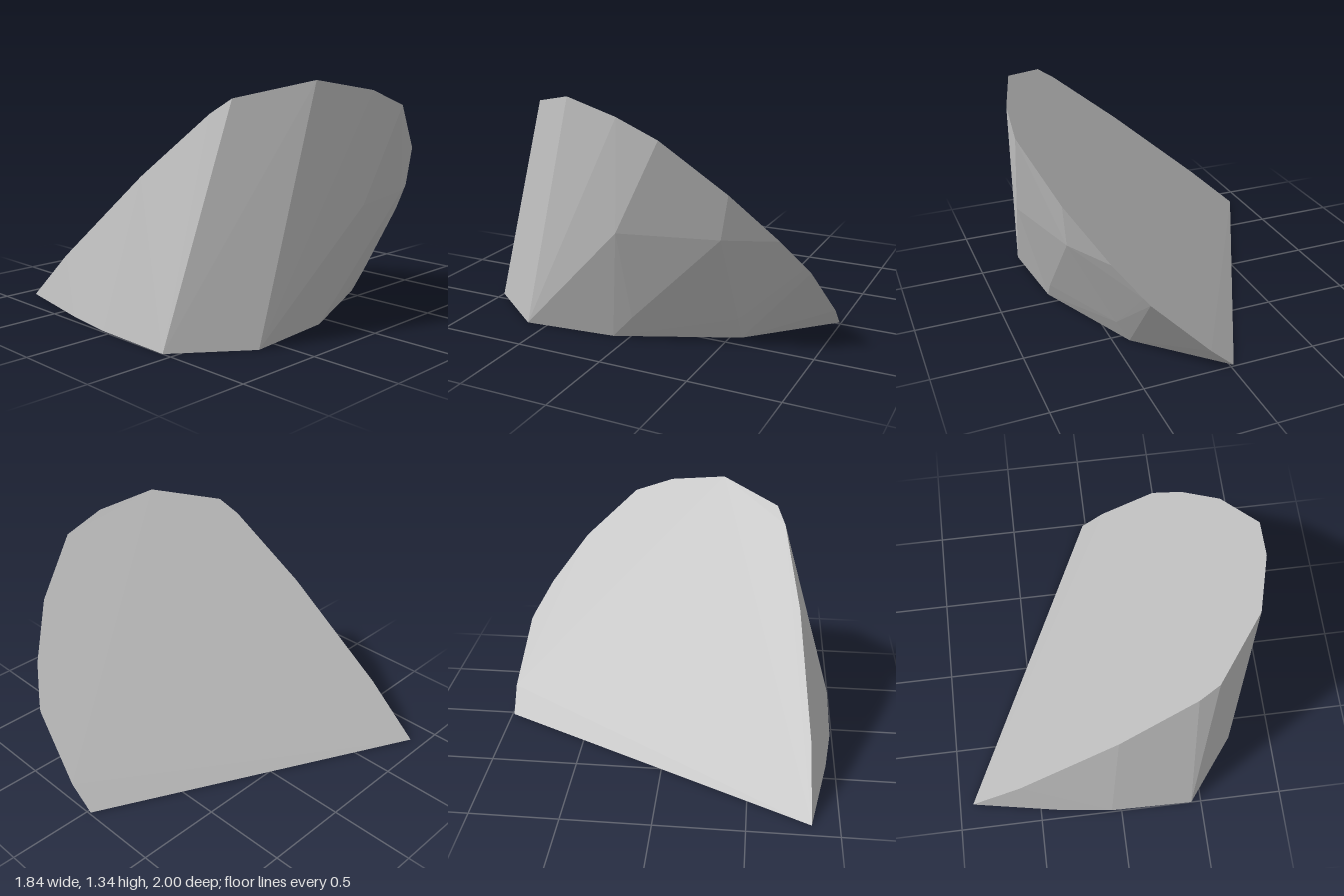
import * as THREE from 'three';
import { ConvexGeometry } from 'three/addons/geometries/ConvexGeometry.js';

// Height of the slanted cut plane, which meets the ground along the back-right edge
const cutHeight = (x, z) => Math.max(0, 0.932 * (x + 0.92) + 0.4533 * (z - 0.85));

export function createModel() {
  const group = new THREE.Group();
  group.name = 'rockShard';
  const stone = new THREE.MeshStandardMaterial({ color: 0xbebebe });
  stone.name = 'grey stone';

  // Outline of the flat base, as [x, z]
  const base = [
    [-0.92, 0.85], [-0.38, 0.95], [-0.06, 0.99], [0.44, 1.0],
    [0.74, 0.62], [0.69, 0.09], [0.41, -0.56], [-0.02, -0.99],
  ].map(([x, z]) => new THREE.Vector3(x, 0, z));

  // Rim of the slanted cut, as [x, z], lifted onto the cut plane
  const rim = [
    [-0.6, 0.84], [0, 0.76], [0.43, 0.66], [0.54, 0.61], [0.8, 0.27], [0.9, -0.07],
    [0.92, -0.31], [0.78, -0.62], [0.6, -0.83], [0.47, -0.93], [0.44, -0.95], [0.12, -1],
  ].map(([x, z]) => new THREE.Vector3(x, cutHeight(x, z), z));

  // Corners of the facets on the bulging side
  const bulge = [
    [0.71, 0.14, -0.04], [0.49, 0.145, -0.57],
    [0.875, 0.67, -0.04], [0.75, 0.67, -0.57],
  ].map((p) => new THREE.Vector3(...p));

  // Faceted stone body
  const body = new THREE.Mesh(new ConvexGeometry([...base, ...rim, ...bulge]), stone);
  body.name = 'stoneBody';
  group.add(body);
  return group;
}
